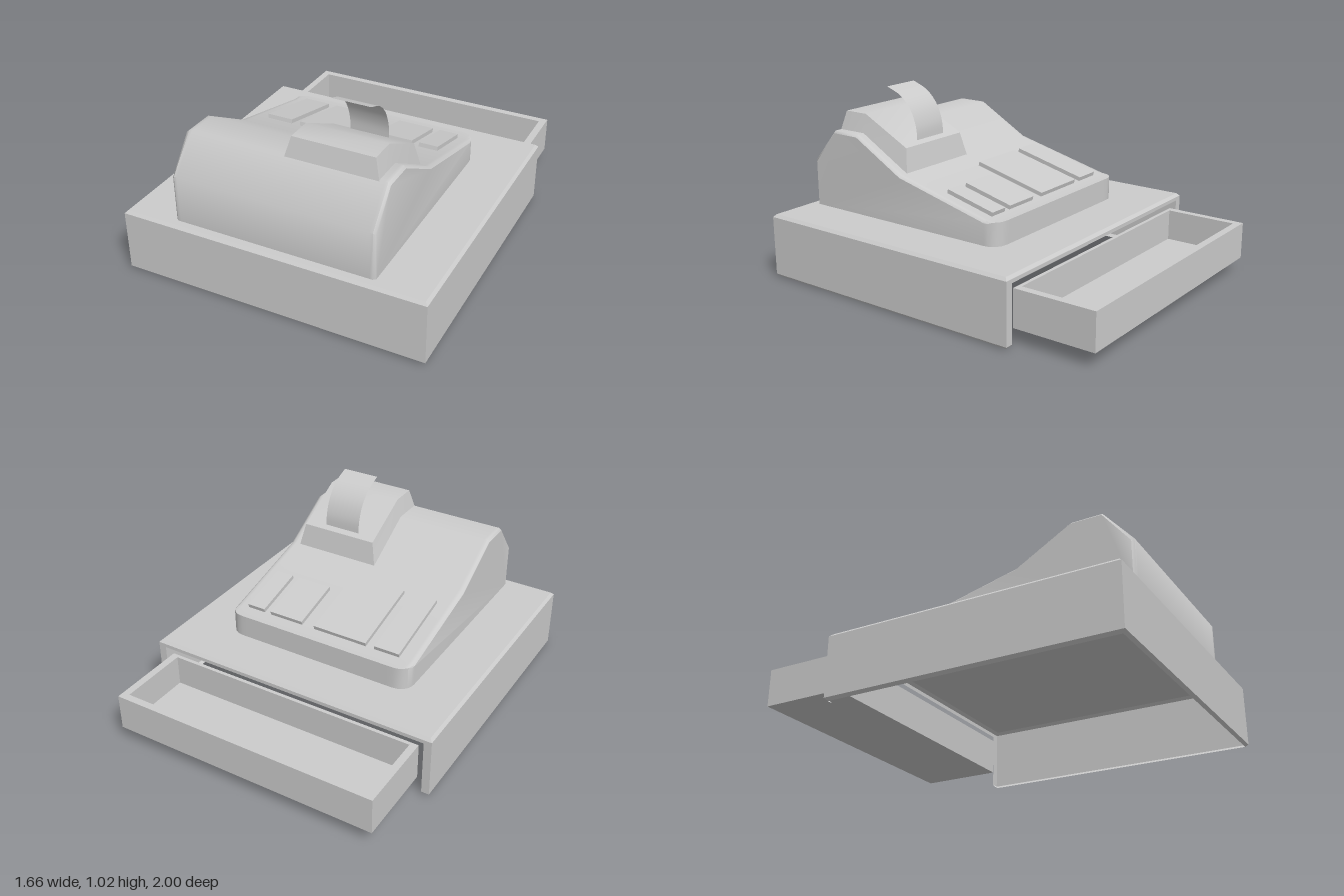
import * as THREE from 'three';
import { toCreasedNormals } from 'three/addons/utils/BufferGeometryUtils.js';

const grey = new THREE.MeshStandardMaterial({ color: 0xcccccc, side: THREE.DoubleSide });

function add(parent, name, geometry) {
  const mesh = new THREE.Mesh(geometry, grey);
  mesh.name = name;
  parent.add(mesh);
  return mesh;
}

// Box given by its lower and upper limits
function block(parent, name, [x0, x1], [y0, y1], [z0, z1]) {
  const mesh = add(parent, name, new THREE.BoxGeometry(x1 - x0, y1 - y0, z1 - z0));
  mesh.position.set((x0 + x1) / 2, (y0 + y1) / 2, (z0 + z1) / 2);
  return mesh;
}

// Sheet spanned between rows of [x, y, z] points, the lowest row first
function sheet(rows) {
  const n = rows[0].length;
  const index = [];
  for (let r = 0; r < rows.length - 1; r++) {
    for (let c = 0; c < n - 1; c++) {
      const a = r * n + c, b = a + n;
      index.push(a, a + 1, b, a + 1, b + 1, b);
    }
  }
  const geometry = new THREE.BufferGeometry();
  geometry.setAttribute('position', new THREE.Float32BufferAttribute(rows.flat(2), 3));
  geometry.setIndex(index);
  return toCreasedNormals(geometry, 0.3);
}

// Sloped housing: side profile swept across x, with rounded rear corners
function housingGeometry() {
  const profile = [[0.95, 0.355], [0.95, 0.61], [0.795, 0.79], [0.63, 0.79],
    [0.33, 0.62], [-0.22, 0.485], [-0.3, 0.48], [-0.3, 0.355]];
  const half = 0.548, radius = 0.08, rim = 0.012;
  const shape = new THREE.Shape(profile.map(([z, y]) => new THREE.Vector2(z, y)));
  const geometry = new THREE.ExtrudeGeometry(shape, { depth: 2, steps: 28, bevelEnabled: false });
  geometry.translate(0, 0, -1);
  geometry.rotateY(-Math.PI / 2);
  const p = geometry.attributes.position;
  for (let i = 0; i < p.count; i++) {
    // sections crowd together towards both sides
    const x = half * Math.sin(p.getX(i) * Math.PI / 2);
    const over = Math.max(0, Math.abs(x) - (half - radius));
    const rear = -0.3 + radius - Math.sqrt(Math.max(0, radius * radius - over * over));
    const drop = Math.max(0, Math.abs(x) - (half - rim));
    const y = p.getY(i), z = p.getZ(i);
    p.setXYZ(i, x, y > 0.36 ? y - drop : y, Math.max(z > 0.9 ? z - drop : z, rear));
  }
  return toCreasedNormals(geometry, 0.75);
}

// Printer cover: a box whose stations follow the housing roof
function printerGeometry() {
  const low = [[0.325, 0.61], [0.63, 0.78], [0.80, 0.78]];
  const high = [[0.352, 0.745], [0.635, 0.89], [0.775, 0.89]];
  const geometry = new THREE.BoxGeometry(2, 2, 2, 1, 1, 2);
  const p = geometry.attributes.position;
  for (let i = 0; i < p.count; i++) {
    const top = p.getY(i) > 0;
    const [z, y] = (top ? high : low)[Math.round(p.getZ(i)) + 1];
    p.setXYZ(i, 0.246 + p.getX(i) * (top ? 0.218 : 0.247), y, z);
  }
  return toCreasedNormals(geometry, 0.6);
}

// Paper strip bent along a curve
function paperGeometry() {
  const curve = new THREE.CatmullRomCurve3([[0.74, 0.38], [0.83, 0.388], [0.92, 0.425],
    [0.985, 0.49], [1.025, 0.585]].map(([y, z]) => new THREE.Vector3(0, y, z)));
  const geometry = new THREE.PlaneGeometry(0.21, 1, 1, 16);
  const p = geometry.attributes.position;
  for (let i = 0; i < p.count; i++) {
    const c = curve.getPoint(p.getY(i) + 0.5);
    p.setXYZ(i, 0.24 - p.getX(i), c.y, c.z);
  }
  geometry.computeVertexNormals();
  return geometry;
}

export function createModel() {
  const model = new THREE.Group();
  model.name = 'cashRegister';

  // Base cabinet: thin chamfered shell, open underneath and at the drawer
  const base = new THREE.Group();
  base.name = 'base';
  model.add(base);
  const X = 0.828, REAR = -0.57, FRONT = 1, DOOR = 0.785, B = 0.015, TOP = 0.355;
  const wallRow = ([y, d]) => [[-DOOR, REAR + d], [-X + d, REAR + d], [-X + d, FRONT - d],
    [X - d, FRONT - d], [X - d, REAR + d], [DOOR, REAR + d]].map(([x, z]) => [x, y, z]);
  add(base, 'baseWalls', sheet([[0, B], [B, 0], [TOP - B, 0], [TOP, B]].map(wallRow)));
  const lintelRow = ([y, d]) => [[DOOR, y, REAR + d], [-DOOR, y, REAR + d]];
  add(base, 'baseLintel', sheet([[0.32, 0], [TOP - B, 0], [TOP, B]].map(lintelRow)));
  add(base, 'baseTop', sheet([FRONT - B, REAR + B].map((z) => [[-X + B, TOP, z], [X - B, TOP, z]])));

  // Open cash drawer
  const drawer = new THREE.Group();
  drawer.name = 'drawer';
  model.add(drawer);
  const W = 0.75, T = 0.04, Y = [0.08, 0.28], END = -0.55;
  block(drawer, 'drawerFloor', [-W + T, W - T], [0.08, 0.11], [-1 + T, END - 0.02]);
  block(drawer, 'drawerFace', [-W, W], Y, [-1, -1 + T]);
  block(drawer, 'drawerInnerWall', [-W, W], Y, [END - 0.02, END]);
  for (const s of [-1, 1]) {
    const side = block(drawer, 'drawerSide', [-T / 2, T / 2], Y, [-1 + T, END - 0.02]);
    side.position.x = s * (W - T / 2);
  }

  // Housing with printer and paper
  add(model, 'housing', housingGeometry());
  add(model, 'printerCover', printerGeometry());
  add(model, 'receiptPaper', paperGeometry());

  // Raised key blocks on the sloped panel
  const slope = 0.135 / 0.55, tilt = Math.atan(slope);
  const keys = [[-0.455, -0.31, 0.2], [-0.26, 0.055, 0.2], [0.13, 0.33, 0.07], [0.37, 0.475, 0.07]];
  for (const [x0, x1, z1] of keys) {
    const z0 = -0.215, z = (z0 + z1) / 2;
    const key = block(model, 'keyBlock', [x0, x1], [-0.022, 0.022], [0, (z1 - z0) / Math.cos(tilt)]);
    key.position.set((x0 + x1) / 2, 0.485 + (z + 0.22) * slope, z);
    key.rotation.x = -tilt;
  }
  return model;
}
